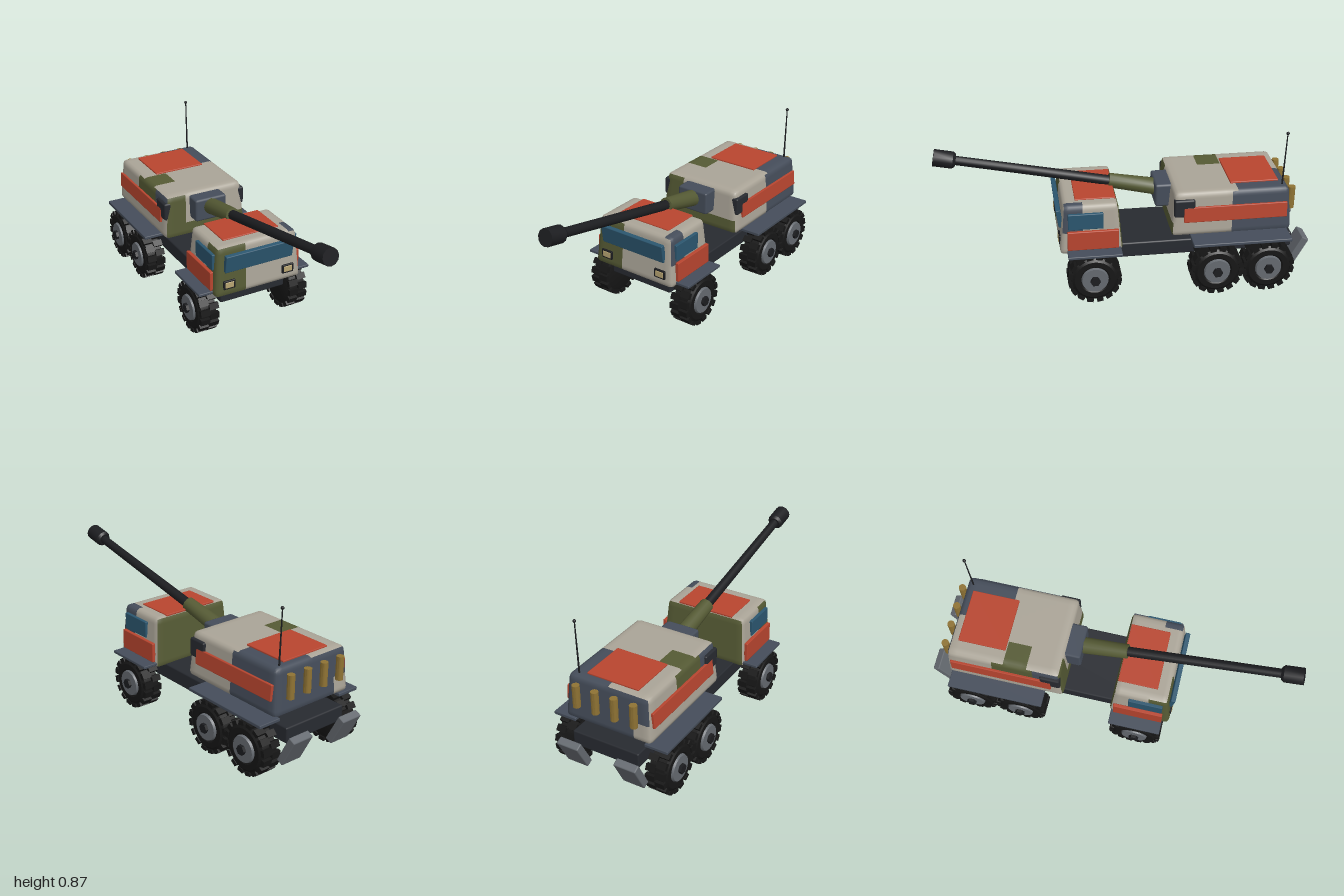
import * as THREE from 'three';
import { toCreasedNormals } from 'three/addons/utils/BufferGeometryUtils.js';
import { RoundedBoxGeometry } from 'three/addons/geometries/RoundedBoxGeometry.js';

const mat = (color) => new THREE.MeshStandardMaterial({ color });
const M = {
  sand: mat(0xaaa497), olive: mat(0x555a34), slate: mat(0x454d5a), red: mat(0xb8452f),
  glass: mat(0x2b566f), tan: mat(0xb8a472), brass: mat(0x8f7334), black: mat(0x1c1d20),
  tyre: mat(0x161616), frame: mat(0x272a30), steel: mat(0x656a70),
};

function add(parent, name, geometry, material, x = 0, y = 0, z = 0) {
  const mesh = new THREE.Mesh(geometry, material);
  mesh.name = name;
  mesh.position.set(x, y, z);
  parent.add(mesh);
  return mesh;
}
const block = (w, h, d, r = 0.004) => new RoundedBoxGeometry(w, h, d, 1, r);
const rod = (r0, r1, len, sides = 12) =>
  toCreasedNormals(new THREE.CylinderGeometry(r0, r1, len, sides), 0.7);

// Tapered box with rounded edges, split into one mesh per camouflage colour.
// rule(u, v, w) takes -1..1 coordinates and returns a material key.
function hull(name, size, taper, r, rule) {
  const n = 20;
  const half = size.map((s) => s / 2);
  const geo = new THREE.BoxGeometry(2, 2, 2, n, n, n);
  const pos = geo.attributes.position;
  const idx = geo.index.array;
  const inner = 1 - 2 / n;
  const buckets = {};
  // sort the faces by colour before shaping
  for (let i = 0; i < idx.length; i += 6) {
    const c = [0, 0, 0];
    for (const k of [0, 1, 2, 4, 5, 3]) {
      const p = idx[i + k];
      c[0] += pos.getX(p) / 6; c[1] += pos.getY(p) / 6; c[2] += pos.getZ(p) / 6;
    }
    (buckets[rule(...c)] ??= []).push(...idx.slice(i, i + 6));
  }
  // outermost cells become the rounded edge, then the sides lean inward
  for (let i = 0; i < pos.count; i++) {
    const p = [pos.getX(i), pos.getY(i), pos.getZ(i)].map((t, a) =>
      Math.abs(t) > inner + 1e-4 ? Math.sign(t) * half[a] : (t / inner) * (half[a] - r));
    const q = p.map((t, a) => THREE.MathUtils.clamp(t, r - half[a], half[a] - r));
    const d = new THREE.Vector3(p[0] - q[0], p[1] - q[1], p[2] - q[2]).setLength(r);
    const y = q[1] + d.y;
    const t = (y + half[1]) / size[1];
    pos.setXYZ(i, (q[0] + d.x) * (1 - taper[0] * t), y, (q[2] + d.z) * (1 - taper[1] * t));
  }
  geo.computeVertexNormals();
  const group = new THREE.Group();
  group.name = name;
  for (const key in buckets) {
    const part = geo.clone().setIndex(buckets[key]);
    add(group, `${name} ${key} panels`, toCreasedNormals(part, 0.9), M[key]);
  }
  return group;
}

// Wheel lying along +x, outer face towards +x
function makeWheel() {
  const wheel = new THREE.Group();
  wheel.name = 'wheel';
  const profile = [[0, -0.055], [0.1, -0.055], [0.127, -0.043], [0.127, 0.043],
    [0.108, 0.056], [0.08, 0.056], [0.074, 0.05], [0, 0.05]]
    .map(([a, b]) => new THREE.Vector2(a, b));
  const tyre = toCreasedNormals(new THREE.LatheGeometry(profile, 28), 0.5);
  add(wheel, 'tyre', tyre, M.tyre).rotation.z = -Math.PI / 2;
  add(wheel, 'rim', rod(0.068, 0.075, 0.02, 24), M.steel, 0.053).rotation.z = -Math.PI / 2;
  add(wheel, 'hub', rod(0.027, 0.027, 0.03, 6), M.black, 0.064).rotation.z = -Math.PI / 2;
  // two staggered rows of tread lugs
  const lugs = 16;
  for (let i = 0; i < lugs * 2; i++) {
    const a = (i / lugs) * Math.PI;
    const lug = add(wheel, 'treadLug', new THREE.BoxGeometry(0.053, 0.022, 0.034), M.tyre,
      i % 2 ? 0.026 : -0.028, Math.cos(a) * 0.131, Math.sin(a) * 0.131);
    lug.rotation.x = a;
  }
  return wheel;
}

export function createModel() {
  const model = new THREE.Group();
  model.name = 'artilleryTruck';

  add(model, 'chassis', block(0.385, 0.085, 1.2, 0.008), M.frame, 0, 0.232, -0.31);

  // Cab
  const cab = hull('cab', [0.51, 0.275, 0.335], [0.09, 0.14], 0.022, (u, v, w) => {
    if (w < -0.99) return 'olive';
    if (w > 0.99) return u < -0.33 ? 'olive' : 'sand';
    if (u > 0.99) return w > 0.3 && v > -0.1 ? 'slate' : 'sand';
    if (u < -0.99) return w > 0.3 ? 'olive' : 'sand';
    if (v > 0.99 && u > 0.8 && w > 0.3) return 'slate';
    return 'sand';
  });
  cab.position.set(0, 0.4025, 0.188);
  model.add(cab);
  add(model, 'cabRoofHatch', block(0.33, 0.012, 0.215), M.red, 0, 0.54, 0.158);
  add(model, 'windshield', block(0.4, 0.1, 0.025), M.glass, 0, 0.453, 0.35).rotation.x = 0.15;

  // Rear body
  const body = hull('rearBody', [0.5, 0.245, 0.65], [0.08, 0.06], 0.022, (u, v, w) => {
    if (w < -0.99) return u < -0.6 && v < -0.2 ? 'sand' : 'slate';
    if (w > 0.99) return u < -0.5 || v < -0.4 ? 'olive' : 'sand';
    if (u > 0.99) return w < 0 ? 'slate' : 'sand';
    if (u < -0.99) return v < 0.3 || w < -0.2 ? 'sand' : w > 0.5 ? 'slate' : 'olive';
    if (v > 0.99) {
      if (u > 0 && w < -0.5 || u > 0.65 && w < -0.1) return 'slate';
      if (u < -0.45 && w > 0 && w < 0.45) return 'olive';
    }
    return 'sand';
  });
  body.position.set(0, 0.4515, -0.56);
  model.add(body);
  add(model, 'rearRoofHatch', block(0.295, 0.014, 0.26), M.red, 0, 0.575, -0.695);

  // Gun
  add(model, 'gunMount', block(0.19, 0.13, 0.1, 0.012), M.slate, 0, 0.495, -0.222);
  const gun = new THREE.Group();
  gun.name = 'gun';
  gun.position.set(0, 0.505, -0.2);
  gun.rotation.x = -0.208;
  model.add(gun);
  const gunPart = (name, r0, r1, from, to, material) => {
    const part = add(gun, name, rod(r0, r1, to - from), material, 0, 0, (from + to) / 2);
    part.rotation.x = Math.PI / 2;
  };
  gunPart('sleeve', 0.039, 0.046, 0, 0.275, M.olive);
  gunPart('barrel', 0.024, 0.027, 0.2, 1.15, M.black);
  gunPart('muzzle', 0.045, 0.045, 1.105, 1.205, M.black);
  gunPart('muzzleCollar', 0.045, 0.034, 1.09, 1.105, M.black);

  // Antenna
  const antenna = new THREE.Group();
  antenna.name = 'antenna';
  antenna.position.set(0.185, 0.565, -0.835);
  antenna.rotation.x = -0.03;
  model.add(antenna);
  add(antenna, 'mast', rod(0.003, 0.005, 0.3, 6), M.black, 0, 0.15, 0);
  add(antenna, 'tip', new THREE.SphereGeometry(0.009, 10, 8), M.black, 0, 0.3, 0);

  // Upright tubes along the tail
  for (const x of [-0.165, -0.055, 0.055, 0.165])
    add(model, 'tailTube', rod(0.02, 0.02, 0.125), M.brass, x, 0.482, -0.897);

  // Mirrored parts
  for (const s of [1, -1]) {
    for (const z of [0.18, -0.475, -0.755]) {
      const wheel = makeWheel();
      wheel.position.set(s * 0.27, 0.144, z);
      if (s < 0) wheel.rotation.y = Math.PI;
      model.add(wheel);
    }
    add(model, 'frontFender', block(0.13, 0.016, 0.285), M.slate, s * 0.267, 0.286, 0.175);
    add(model, 'rearFender', block(0.13, 0.018, 0.53), M.slate, s * 0.267, 0.309, -0.608);
    add(model, 'door', block(0.02, 0.108, 0.27), M.red, s * 0.257, 0.35, 0.18);
    add(model, 'sideWindow', block(0.02, 0.09, 0.185), M.glass, s * 0.242, 0.455, 0.217);
    add(model, 'sideStripe', block(0.025, 0.085, 0.555), M.red, s * 0.24, 0.453, -0.578)
      .rotation.z = s * 0.08;
    add(model, 'cornerBox', block(0.045, 0.1, 0.11, 0.01), M.frame, s * 0.226, 0.49, -0.305);
    add(model, 'headlightFrame', block(0.07, 0.05, 0.02), M.black, s * 0.175, 0.331, 0.347);
    add(model, 'headlight', block(0.052, 0.034, 0.02), M.tan, s * 0.175, 0.331, 0.35);
    add(model, 'mudFlap', block(0.125, 0.17, 0.042, 0.006), M.steel, s * 0.167, 0.175, -0.942)
      .rotation.x = -0.48;
  }
  return model;
}
